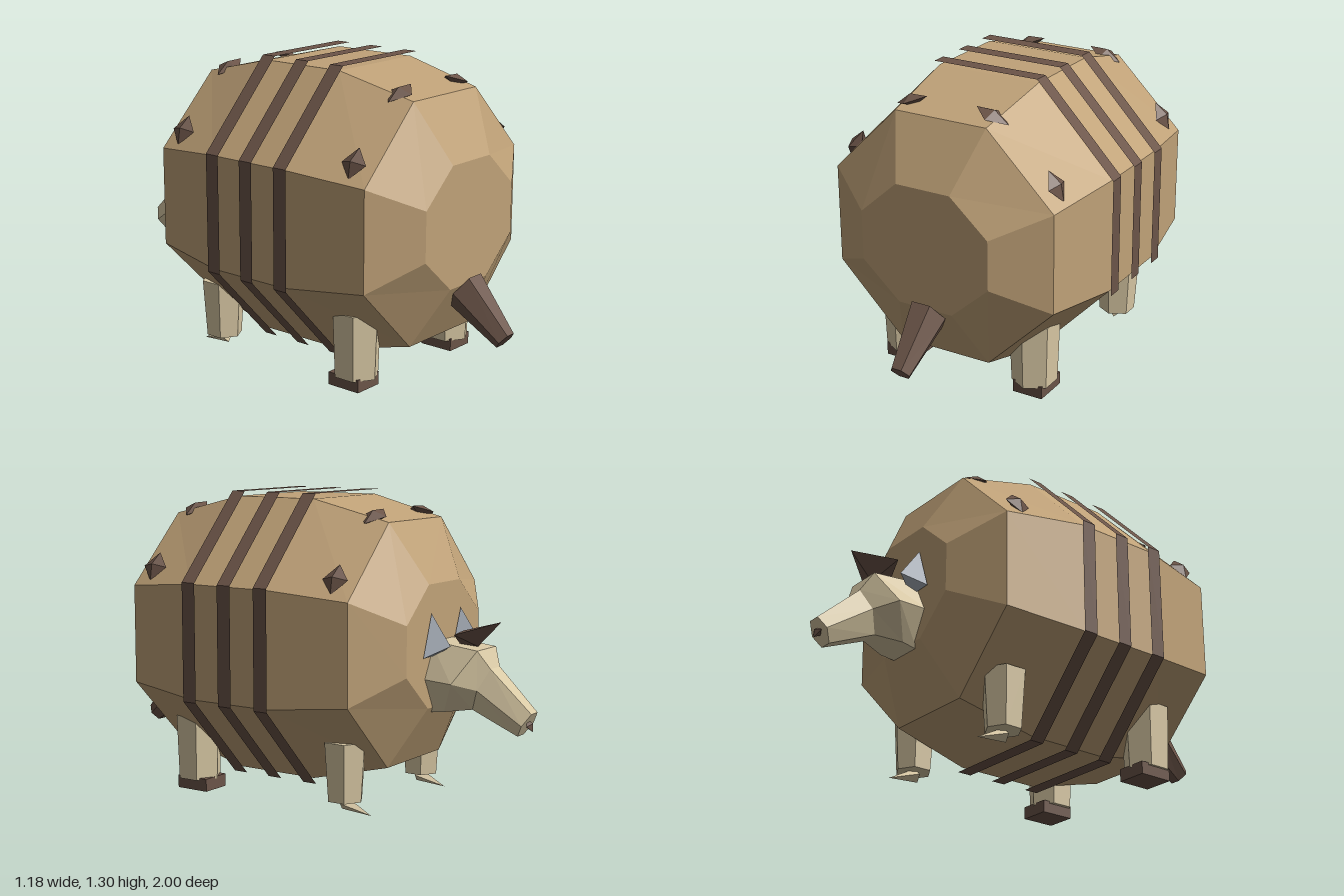
import * as THREE from 'three';
import { ConvexGeometry } from 'three/addons/geometries/ConvexGeometry.js';

const mat = (name, color) => Object.assign(new THREE.MeshStandardMaterial({ color }), { name });

// Unshared vertices give every facet its own flat normal.
function flat(geo) {
  const g = geo.index ? geo.toNonIndexed() : geo;
  g.computeVertexNormals();
  return g;
}

// Skin over rings of [x, y, z] points, counter-clockwise seen from +z, listed towards +z.
function loft(rings, capped = true) {
  const n = rings[0].length, index = [];
  for (let i = 0; i < rings.length - 1; i++) {
    for (let j = 0; j < n; j++) {
      const a = i * n + j, b = i * n + (j + 1) % n;
      index.push(a, b, b + n, a, b + n, a + n);
    }
  }
  const last = (rings.length - 1) * n;
  for (let j = 1; capped && j < n - 1; j++) {
    index.push(0, j + 1, j, last, last + j, last + j + 1);
  }
  const g = new THREE.BufferGeometry();
  g.setAttribute('position', new THREE.Float32BufferAttribute(rings.flat(2), 3));
  g.setIndex(index);
  return flat(g);
}

// Octagon: half widths w (sides) and v (top), half heights h (top) and k (sides)
const octagon = (z, w, v, h, k) => [
  [w, -k], [w, k], [v, h], [-v, h], [-w, k], [-w, -k], [-v, -h], [v, -h],
].map(([x, y]) => [x, 0.7 + y, z]);

// Tilted flat-topped hexagon running between a top and a bottom [y, z]
const hexagon = (rx, top, bottom) => Array.from({ length: 6 }, (_, i) => {
  const a = i * Math.PI / 3, t = 0.5 + Math.sin(a) / Math.sqrt(3);
  return [rx * Math.cos(a), bottom[0] + (top[0] - bottom[0]) * t, bottom[1] + (top[1] - bottom[1]) * t];
});

const hull = points => flat(new ConvexGeometry(points.map(p => new THREE.Vector3(...p))));

export function createModel() {
  const shell = mat('shell tan', 0xc0a278);
  const skin = mat('skin cream', 0xd8c8a4);
  const dark = mat('dark brown', 0x6b5448);
  const grey = mat('ear grey', 0xb0b7c2);

  const model = new THREE.Group();
  model.name = 'armadillo';
  const add = (name, geo, material, parent = model) => {
    const m = new THREE.Mesh(geo, material);
    m.name = name;
    parent.add(m);
    return m;
  };

  // Barrel shell
  add('shell', loft([
    octagon(-0.58, 0.295, 0.125, 0.255, 0.105),
    octagon(-0.44, 0.51, 0.21, 0.505, 0.21),
    octagon(-0.09, 0.57, 0.235, 0.59, 0.242),
    octagon(0.3, 0.57, 0.235, 0.59, 0.242),
    octagon(0.655, 0.51, 0.21, 0.505, 0.21),
    octagon(0.79, 0.295, 0.125, 0.255, 0.105),
  ]), shell);

  // Thin strips around the shell
  for (const z of [-0.073, 0.11, 0.293]) {
    add('band', loft([-0.033, 0.033].map(d => octagon(z + d, 0.59, 0.243, 0.612, 0.25)), false), dark);
  }

  // Faceted studs on the shoulders of the shell
  for (const side of [-1, 1]) {
    for (const z of [-0.355, 0.57]) {
      for (const [x, y, tilt, half] of [[0.188, 1.226, 0.35, 0.077], [0.47, 0.992, 1.03, 0.067]]) {
        const g = new THREE.OctahedronGeometry(1).scale(half, 0.026, 0.06);
        g.rotateZ(-side * tilt).translate(side * x, y, z);
        add('stud', flat(g), dark);
      }
    }
  }

  // Tail
  add('tail', loft([
    hexagon(0.085, [0.48, 0.82], [0.35, 0.73]),
    hexagon(0.045, [0.27, 1.0], [0.21, 0.95]),
  ]), dark);

  // Head with snout
  const head = new THREE.Group();
  head.name = 'head';
  model.add(head);
  add('snout', loft([
    hexagon(0.055, [0.452, -1.0], [0.355, -0.94]),
    hexagon(0.08, [0.62, -0.82], [0.445, -0.74]),
    hexagon(0.16, [0.695, -0.78], [0.43, -0.63]),
    hexagon(0.15, [0.72, -0.56], [0.42, -0.56]),
  ]), skin, head);
  const nose = new THREE.OctahedronGeometry(0.03).scale(1, 1, 0.6);
  add('nose', flat(nose.rotateX(0.55).translate(0, 0.4, -0.98)), dark, head);
  add('browTuft', hull([
    [0, 0.808, -0.845], [0.13, 0.76, -0.7], [-0.13, 0.76, -0.7],
    [0, 0.76, -0.67], [0, 0.7, -0.66], [0, 0.7, -0.74],
  ]), dark, head);

  for (const s of [-1, 1]) {
    add('ear', hull([
      [s * 0.12, 0.838, -0.59], [s * 0.06, 0.66, -0.585],
      [s * 0.182, 0.66, -0.59], [s * 0.12, 0.71, -0.68],
    ]), grey, head);

    // Hind leg with block hoof
    const hind = new THREE.Group();
    hind.name = 'hindLeg';
    model.add(hind);
    const leg = new THREE.CylinderGeometry(0.105, 0.095, 0.28, 6);
    add('thigh', flat(leg.translate(s * 0.315, 0.2, 0.465)), skin, hind);
    add('hoof', flat(new THREE.BoxGeometry(0.135, 0.055, 0.155).translate(s * 0.318, 0.042, 0.452)), dark, hind);

    // Fore leg with a claw pointing ahead
    const fore = new THREE.Group();
    fore.name = 'foreLeg';
    model.add(fore);
    const arm = new THREE.CylinderGeometry(0.095, 0.078, 0.25, 6);
    add('arm', flat(arm.translate(s * 0.305, 0.185, -0.295)), skin, fore);
    const claw = new THREE.ConeGeometry(0.03, 0.14, 4);
    claw.rotateX(-Math.PI / 2 - 0.28).translate(s * 0.3, 0.028, -0.352);
    add('claw', flat(claw), skin, fore);
  }
  return model;
}
